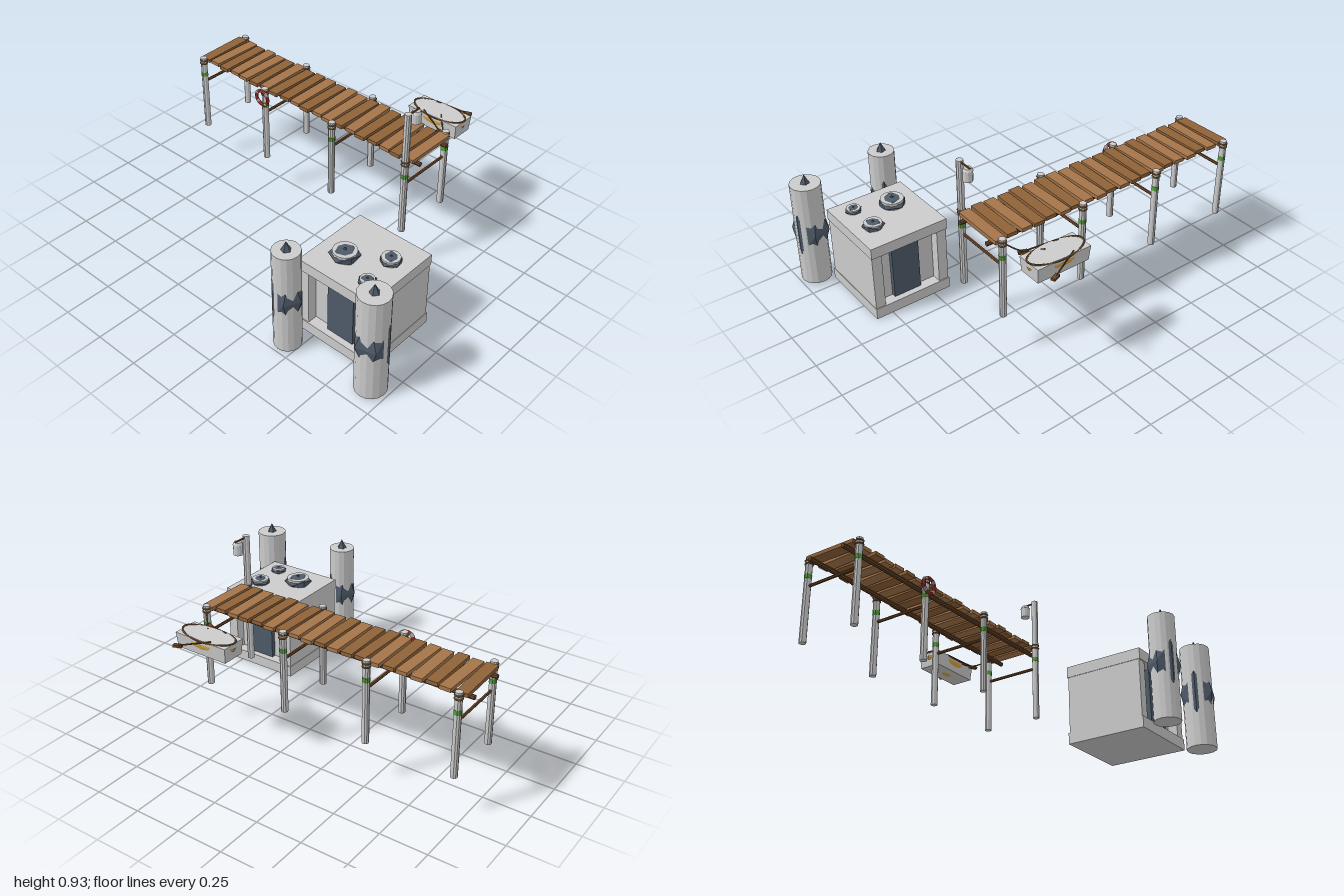
import * as THREE from 'three';

const mat = (color) => new THREE.MeshStandardMaterial({ color, flatShading: true });
const GREY = mat(0xcccccc), SLATE = mat(0x4f5b69), BROWN = mat(0x6b4526), ROPE = mat(0x7a5a35);
const PLANKS = [mat(0x8f6238), mat(0xa5754a)];
const GREEN = mat(0x56a03a), RED = mat(0xb83a36), GOLD = mat(0xd9a53a);

function add(parent, name, geometry, material, x = 0, y = 0, z = 0) {
  const mesh = new THREE.Mesh(geometry, material);
  mesh.name = name;
  mesh.position.set(x, y, z);
  parent.add(mesh);
  return mesh;
}
const group = (parent, name, x = 0, y = 0, z = 0) => {
  const g = new THREE.Group();
  g.name = name;
  g.position.set(x, y, z);
  parent.add(g);
  return g;
};
const box = (w, h, d) => new THREE.BoxGeometry(w, h, d);
const cyl = (r, h, n = 10, r2 = r) => new THREE.CylinderGeometry(r, r2, h, n);

// Round bar between two points
function bar(parent, name, a, b, r, material, sides = 6) {
  const p = new THREE.Vector3(...a), q = new THREE.Vector3(...b);
  const dir = q.clone().sub(p);
  const m = add(parent, name, cyl(r, dir.length(), sides), material);
  m.position.copy(p).add(q).multiplyScalar(0.5);
  m.quaternion.setFromUnitVectors(new THREE.Vector3(0, 1, 0), dir.normalize());
  return m;
}

function buildDock(root) {
  const dock = group(root, 'dock');
  // Deck planks, each slightly skewed
  for (let i = 0; i < 20; i++) {
    const plank = add(dock, 'plank', box(0.295, 0.02, 0.06), PLANKS[(i * 3 + (i >> 2)) % 2],
      0.293 + 0.006 * Math.sin(i * 2.4), 0.646, -0.952 + i * 0.0751);
    plank.rotation.y = 0.025 * Math.sin(i * 4.1 + 1);
  }
  // Long beams under the planks
  for (const x of [0.188, 0.4]) bar(dock, 'beam', [x, 0.624, 0.525], [x, 0.624, -1], 0.012, BROWN, 8);
  // Posts with bands and cross braces
  for (const z of [0.475, 0, -0.475, -0.95]) {
    for (const x of [0.131, 0.455]) {
      const top = x < 0.2 && z > 0.4 ? 0.925 : 0.665;
      add(dock, 'post', cyl(0.018, top - 0.22), GREY, x, (top + 0.22) / 2, z);
      add(dock, 'greenBand', cyl(0.0192, 0.024), GREEN, x, 0.564, z);
      for (const y of [0.632, 0.65]) {
        const loop = add(dock, 'ropeLoop', new THREE.TorusGeometry(0.018, 0.005, 6, 12), ROPE, x, y, z);
        loop.rotation.x = Math.PI / 2;
      }
    }
    bar(dock, 'crossBrace', [0.131, 0.513, z], [0.455, 0.513, z], 0.008, BROWN);
  }
  // Lamp hanging from the tall post
  const lamp = group(dock, 'lamp', 0.196, 0, 0.475);
  bar(lamp, 'lampArm', [-0.065, 0.916, 0], [0.02, 0.916, 0], 0.005, BROWN);
  add(lamp, 'lampHook', cyl(0.004, 0.02, 6), BROWN, 0, 0.908, 0);
  add(lamp, 'lampBody', cyl(0.025, 0.055, 12), GREY, 0, 0.872, 0);
  add(lamp, 'lampCap', cyl(0.02, 0.014, 12, 0.027), GREY, 0, 0.906, 0);

  // Life ring with pale wraps
  const ring = group(dock, 'lifeRing', 0.109, 0.615, -0.475);
  ring.rotation.y = Math.PI / 2;
  add(ring, 'ringBody', new THREE.TorusGeometry(0.041, 0.009, 8, 24), RED);
  for (let i = 0; i < 4; i++) {
    const wrap = add(ring, 'ringWrap', new THREE.TorusGeometry(0.041, 0.0098, 8, 4, 0.4), GREY);
    wrap.rotation.z = i * Math.PI / 2 + 0.6;
  }
}

function buildBoat(root) {
  const boat = group(root, 'boat', 0.631, 0, 0.308);
  // Tapered block around the hull
  const body = box(0.134, 0.08, 0.305);
  const p = body.attributes.position;
  for (let i = 0; i < p.count; i++) {
    if (p.getY(i) < 0) p.setXYZ(i, p.getX(i) * 0.9, p.getY(i), p.getZ(i) * 0.96);
  }
  add(boat, 'boatBody', body, GREY, 0, 0.585, 0);
  // Hull bulging through the block
  const hull = add(boat, 'hull', new THREE.SphereGeometry(1, 20, 8, 0, Math.PI * 2, Math.PI / 2, Math.PI / 2), GOLD, 0, 0.606, 0);
  hull.scale.set(0.071, 0.063, 0.16);
  const seat = add(boat, 'deck', cyl(1, 0.006, 28), GREY, 0, 0.625, 0);
  seat.scale.set(0.068, 1, 0.155);
  // Rim that rises slightly at both ends
  const pts = [];
  for (let i = 0; i < 28; i++) {
    const a = i / 28 * Math.PI * 2;
    pts.push(new THREE.Vector3(0.069 * Math.cos(a), 0.622 + 0.008 * Math.sin(a) ** 2, 0.156 * Math.sin(a)));
  }
  add(boat, 'rim', new THREE.TubeGeometry(new THREE.CatmullRomCurve3(pts, true), 48, 0.005, 6, true), ROPE);
  // Oars
  for (const s of [-1, 1]) {
    bar(boat, 'oar', [s * 0.055, 0.632, -0.06], [s * 0.124, 0.59, 0.11], 0.004, BROWN);
    const blade = add(boat, 'oarBlade', box(0.022, 0.012, 0.045), BROWN, s * 0.118, 0.592, 0.095);
    blade.rotation.y = s * 0.38;
  }
  // Mooring rope
  const rope = new THREE.CatmullRomCurve3([
    new THREE.Vector3(0.458, 0.642, 0.475), new THREE.Vector3(0.525, 0.606, 0.41), new THREE.Vector3(0.6, 0.632, 0.34)]);
  add(root, 'mooringRope', new THREE.TubeGeometry(rope, 12, 0.004, 6), ROPE);
}

function buildBlock(root) {
  // Block house: two slabs, end walls, recessed middle
  const block = group(root, 'blockHouse', -0.336, 0, 0.623);
  for (const y of [0.03, 0.4]) add(block, 'slab', box(0.437, 0.06, 0.437), GREY, 0, y, 0);
  for (const s of [-1, 1]) add(block, 'endWall', box(0.425, 0.31, 0.055), GREY, 0, 0.215, s * 0.188);
  add(block, 'partition', box(0.32, 0.31, 0.33), GREY, 0, 0.215, 0);
  add(block, 'darkPanel', box(0.37, 0.31, 0.155), SLATE, 0, 0.215, 0.012);
  // Low stones on the roof
  for (const [x, z, r, h] of [[-0.395, 0.55, 0.078, 0.048], [-0.28, 0.73, 0.06, 0.036], [-0.46, 0.74, 0.047, 0.028]]) {
    const stone = group(root, 'roofStone', x, 0.43, z);
    stone.rotation.y = x * 9;
    add(stone, 'stoneCore', cyl(r * 0.78, h * 0.8, 14), GREY, 0, h * 0.4, 0);
    const shard = add(stone, 'stoneShard', new THREE.IcosahedronGeometry(1, 0), SLATE, 0, h * 0.3, 0);
    shard.scale.set(r, h * 0.75, r);
    add(stone, 'stoneTip', new THREE.ConeGeometry(r * 0.2, h * 0.3, 5), SLATE, 0, h * 0.95, 0);
  }
}

function buildPillars(root) {
  // Round pillars wrapped in jagged rock
  for (const [x, z, r, top, turn] of [[-0.622, 0.91, 0.08, 0.585, 0.3], [-0.67, 0.44, 0.07, 0.58, 1.1]]) {
    const pillar = group(root, 'pillar', x, 0, z);
    add(pillar, 'pillarShaft', cyl(r, top - 0.01, 16), GREY, 0, (top + 0.01) / 2, 0);
    const shard = add(pillar, 'rockShard', new THREE.IcosahedronGeometry(1, 0), SLATE, 0, 0.31, 0);
    shard.scale.set(r * 1.22, 0.215, r * 1.22);
    shard.rotation.y = turn;
    add(pillar, 'pillarTip', new THREE.ConeGeometry(0.026, 0.05, 5), SLATE, 0, top + 0.024, 0);
  }
}

export function createModel() {
  const root = new THREE.Group();
  root.name = 'harbourScene';
  buildDock(root);
  buildBoat(root);
  buildBlock(root);
  buildPillars(root);
  return root;
}
